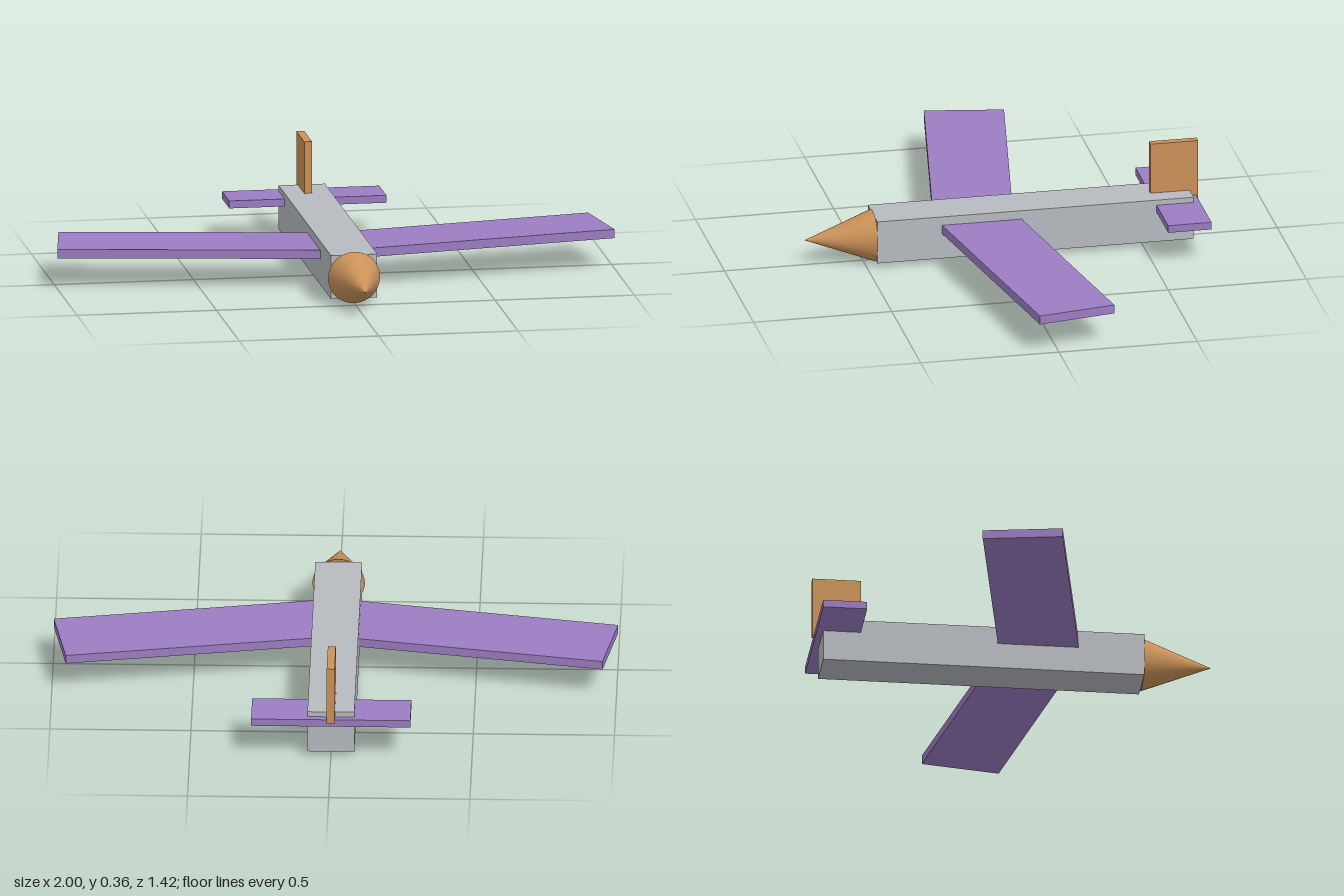
import * as THREE from 'three';

export function createModel() {
  const model = new THREE.Group();
  model.name = 'airplane';

  const mat = (name, color) => {
    const m = new THREE.MeshStandardMaterial({ color });
    m.name = name;
    return m;
  };
  const grey = mat('bodyGrey', 0xb7bbc0);
  const purple = mat('wingPurple', 0x9c7dc2);
  const orange = mat('accentOrange', 0xcb9259);

  const add = (name, geometry, material, x, y, z) => {
    const mesh = new THREE.Mesh(geometry, material);
    mesh.name = name;
    mesh.position.set(x, y, z);
    model.add(mesh);
    return mesh;
  };

  // Square fuselage
  add('fuselage', new THREE.BoxGeometry(0.166, 0.158, 1.144), grey, 0, 0.096, -0.108);

  // Smooth nose cone pointing forward
  const nose = new THREE.ConeGeometry(0.093, 0.247, 32).rotateX(Math.PI / 2);
  add('noseCone', nose, orange, 0, 0.093, 0.5875);

  // Swept wings, rooted inside the fuselage
  const sweep = THREE.MathUtils.degToRad(10);
  const span = 0.96;
  for (const side of [1, -1]) {
    const x = 0.975 - (span / 2) * Math.cos(sweep);
    const z = -0.071 + (span / 2) * Math.sin(sweep);
    const wing = add(side > 0 ? 'leftWing' : 'rightWing',
      new THREE.BoxGeometry(span, 0.032, 0.284), purple, side * x, 0.127, z);
    wing.rotation.y = side * sweep;
  }

  // Tailplane and upright fin
  add('tailplane', new THREE.BoxGeometry(0.564, 0.027, 0.157), purple, 0, 0.142, -0.6245);
  add('tailFin', new THREE.BoxGeometry(0.028, 0.219, 0.173), orange, 0, 0.2525, -0.6245);

  return model;
}
